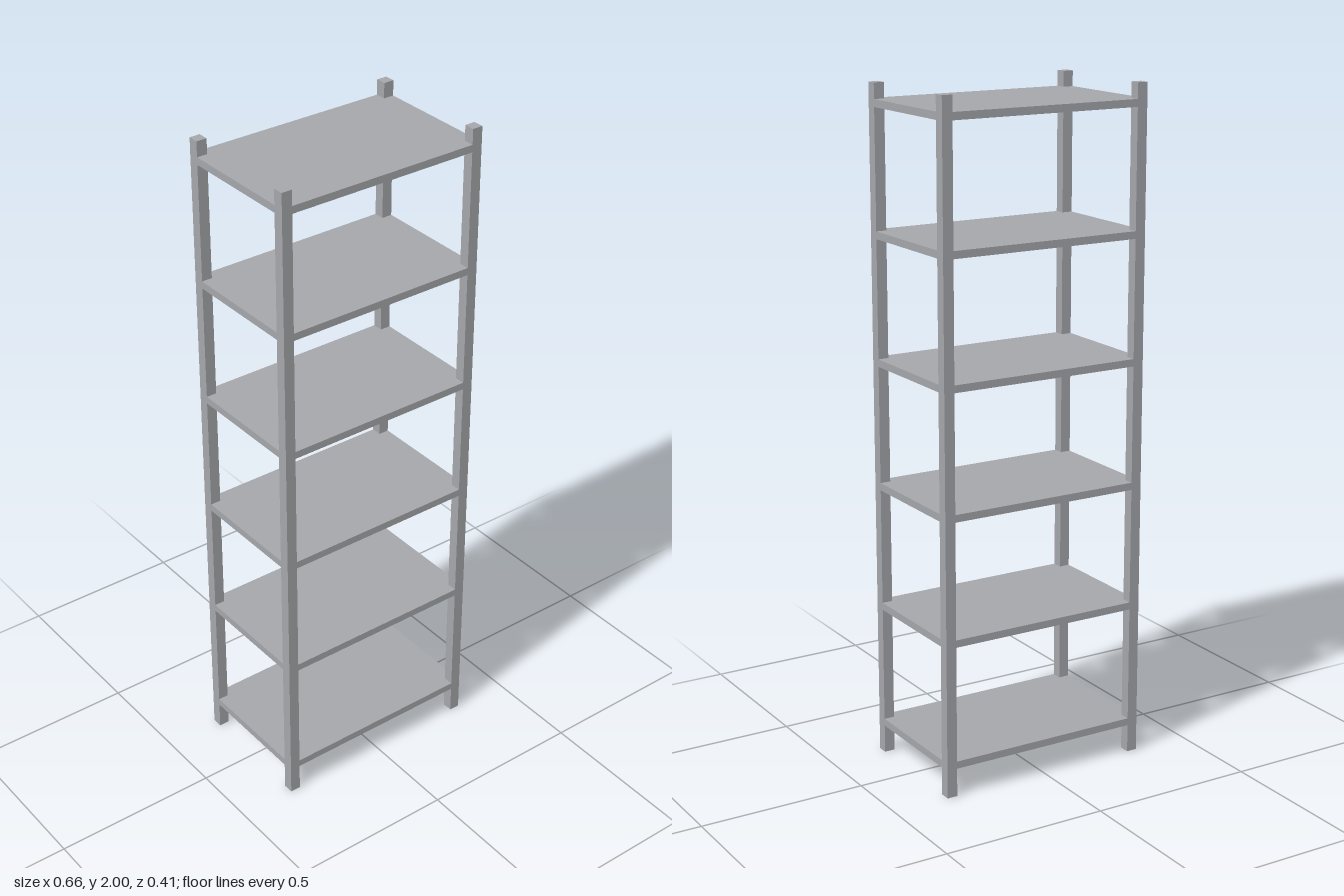
import * as THREE from 'three';

const HALF_W = 0.328, HALF_D = 0.205, HEIGHT = 2;
const POST = 0.032, SHELF_THICK = 0.022;
const SHELF_COUNT = 6, FIRST_SHELF = 0.096, SHELF_STEP = 0.3695;

// Rectangle with a square notch at each corner for the posts
function shelfGeometry() {
  const w = HALF_W, d = HALF_D, a = w - POST, b = d - POST;
  const outline = [
    [-a, -d], [a, -d], [a, -b], [w, -b], [w, b], [a, b],
    [a, d], [-a, d], [-a, b], [-w, b], [-w, -b], [-a, -b],
  ].map(([x, y]) => new THREE.Vector2(x, y));
  const geometry = new THREE.ExtrudeGeometry(new THREE.Shape(outline), {
    depth: SHELF_THICK, bevelEnabled: false,
  });
  geometry.rotateX(-Math.PI / 2);
  geometry.translate(0, -SHELF_THICK / 2, 0);
  return geometry;
}

export function createModel() {
  const model = new THREE.Group();
  model.name = 'shelvingUnit';

  const metal = new THREE.MeshStandardMaterial({ color: 0xa6a7ab });
  metal.name = 'grey metal';

  // Four corner posts
  const postGeometry = new THREE.BoxGeometry(POST, HEIGHT, POST);
  for (const [zName, sz] of [['front', 1], ['back', -1]]) {
    for (const [xName, sx] of [['Left', 1], ['Right', -1]]) {
      const post = new THREE.Mesh(postGeometry, metal);
      post.name = `${zName}${xName}Post`;
      post.position.set(sx * (HALF_W - POST / 2), HEIGHT / 2, sz * (HALF_D - POST / 2));
      model.add(post);
    }
  }

  // Evenly spaced shelves, flush with the outside of the posts
  const geometry = shelfGeometry();
  for (let i = 0; i < SHELF_COUNT; i++) {
    const shelf = new THREE.Mesh(geometry, metal);
    shelf.name = `shelf${i + 1}`;
    shelf.position.y = FIRST_SHELF + i * SHELF_STEP;
    model.add(shelf);
  }

  return model;
}
